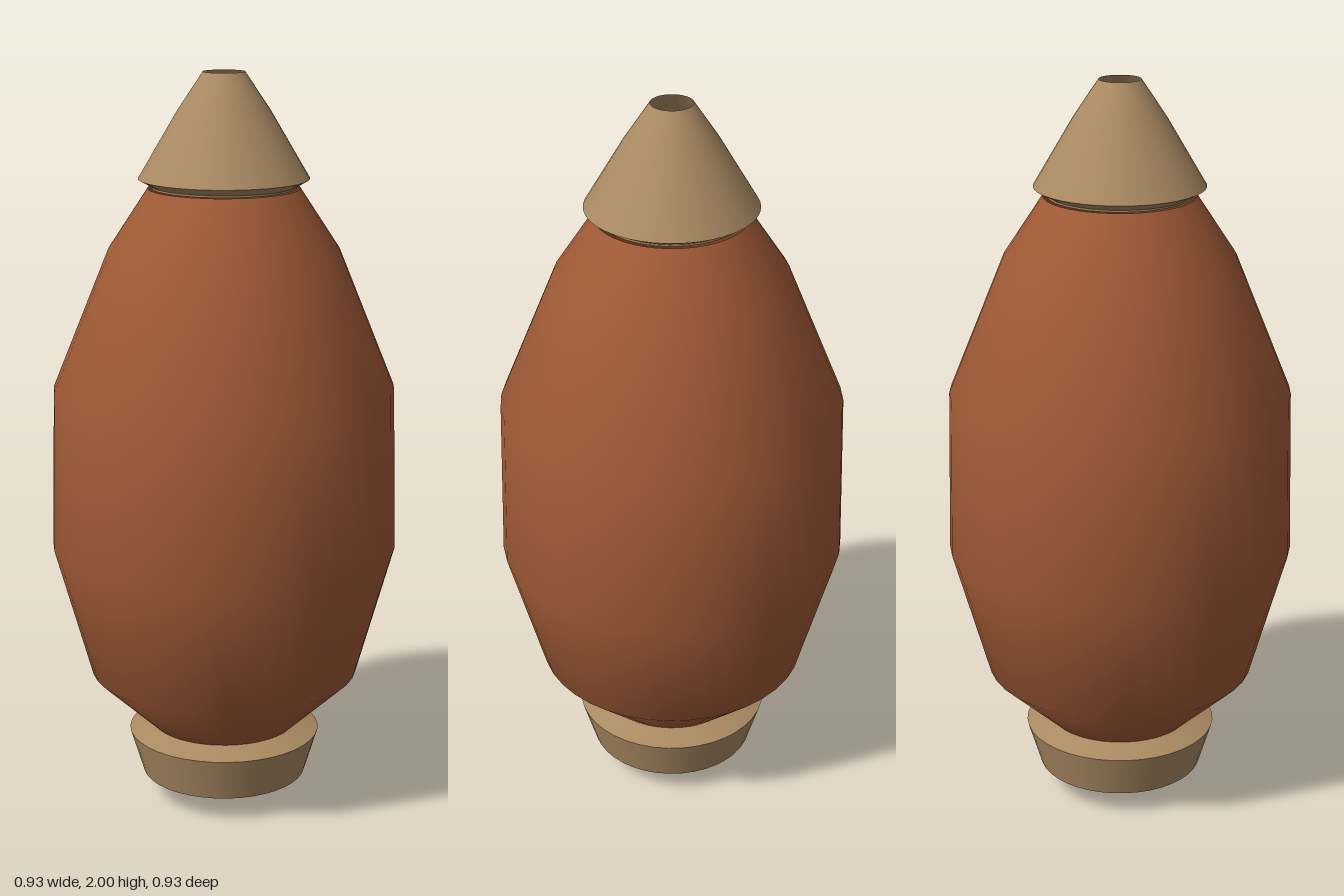
import * as THREE from 'three';

const SIDES = 40;

export function createModel() {
  const model = new THREE.Group();
  model.name = 'spindleBody';

  const rust = new THREE.MeshStandardMaterial({ color: 0xa05a36, side: THREE.DoubleSide });
  rust.name = 'rust brown';
  const tan = new THREE.MeshStandardMaterial({ color: 0xaa8a62, side: THREE.DoubleSide });
  tan.name = 'tan';

  const add = (name, geometry, material, y = 0) => {
    const mesh = new THREE.Mesh(geometry, material);
    mesh.name = name;
    mesh.position.y = y;
    model.add(mesh);
  };
  // Turned part from [radius, height] pairs, listed bottom to top
  const turned = (profile) =>
    new THREE.LatheGeometry(profile.map(([r, y]) => new THREE.Vector2(r, y)), SIDES);

  // Swollen main shell
  add('shell', turned([
    [0.2, 0.215], [0.365, 0.37], [0.465, 0.73], [0.455, 1.17], [0.305, 1.54], [0.2, 1.7],
  ]), rust);

  // Hollow nose cone with a small open tip and an undercut lip
  add('noseCone', turned([[0.122, 1.9], [0.055, 2.0]].reduce(
    (points, p) => [...points, p], [[0.225, 1.725]])), tan);
  add('noseLip', turned([[0.18, 1.7], [0.225, 1.725]]), tan);

  // Floor inside the nose, seen through the open tip
  add('noseFloor', new THREE.CylinderGeometry(0.19, 0.19, 0.005, SIDES), tan, 1.703);

  // Flared base cup, open below
  add('baseCup', turned([[0.225, 0.07], [0.262, 0.192]]), tan);
  add('baseLip', turned([[0.262, 0.192], [0.2, 0.215]]), tan);
  add('baseCeiling', new THREE.CylinderGeometry(0.19, 0.19, 0.005, SIDES), tan, 0.21);

  // Short centre pin
  add('centrePin', new THREE.CylinderGeometry(0.024, 0.024, 0.21, 16), tan, 0.105);

  return model;
}
